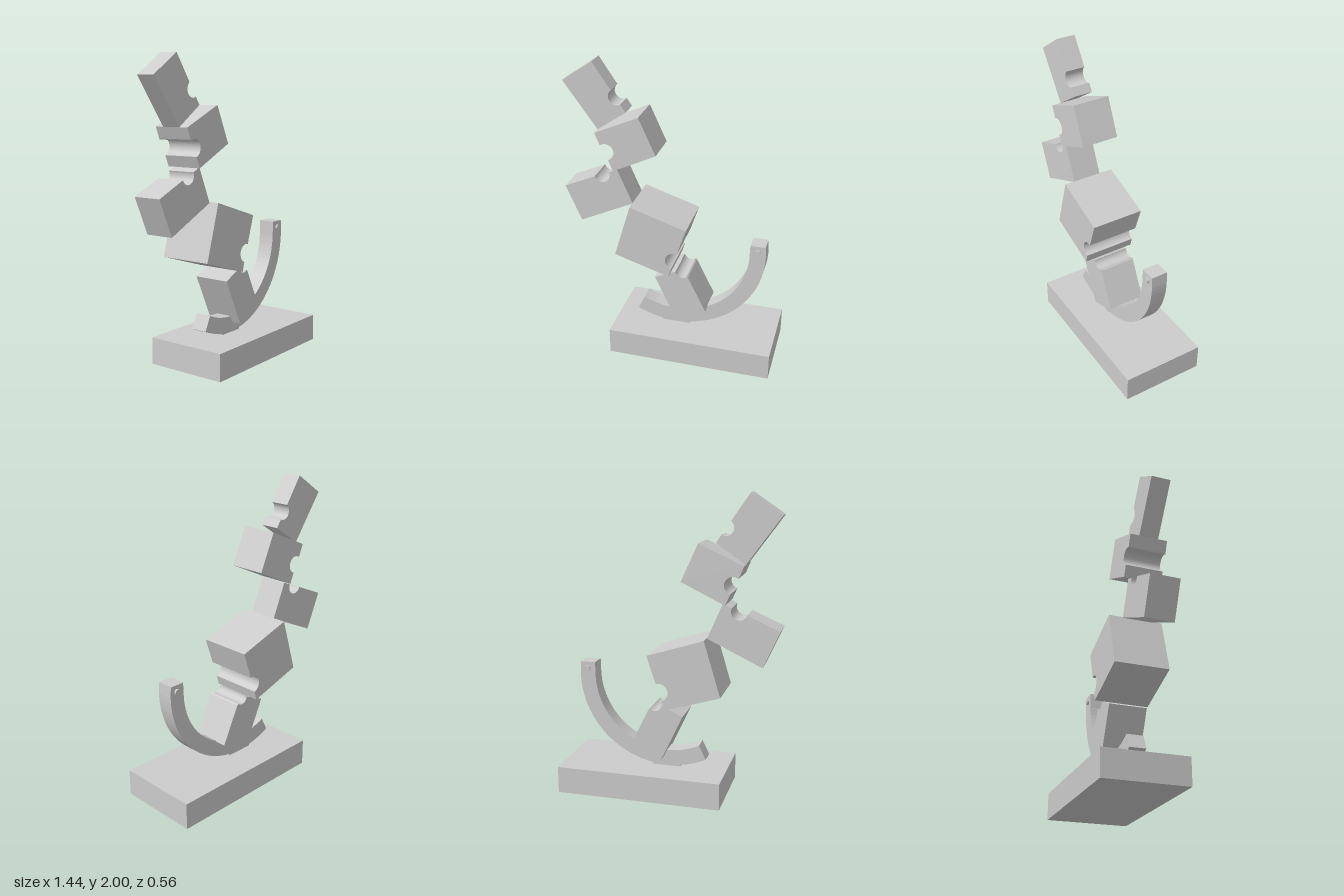
import * as THREE from 'three';

const grey = new THREE.MeshStandardMaterial({ color: 0xcccccc });

function add(group, name, geometry) {
  const mesh = new THREE.Mesh(geometry, grey);
  mesh.name = name;
  group.add(mesh);
  return mesh;
}

// Extrude an outline drawn in the xy plane from z = back to z = front
function slab(shape, back, front, curveSegments) {
  return new THREE.ExtrudeGeometry(shape, { depth: front - back, bevelEnabled: false, curveSegments })
    .translate(0, 0, back);
}

// Outline starts just after the notch and ends just before it, counter-clockwise
function notchedBlock(points, [cx, cy], r, back, front) {
  const shape = new THREE.Shape();
  points.forEach(([x, y], i) => (i ? shape.lineTo(x, y) : shape.moveTo(x, y)));
  const angleOf = ([x, y]) => Math.atan2(y - cy, x - cx);
  shape.absarc(cx, cy, r, angleOf(points[points.length - 1]), angleOf(points[0]), true);
  shape.closePath();
  return slab(shape, back, front, 18);
}

export function createModel() {
  const model = new THREE.Group();
  model.name = 'balancedBlockSculpture';

  // Base and the small flat the curved arm rests on
  add(model, 'base', new THREE.BoxGeometry(1.105, 0.18, 0.56)).position.set(0.167, 0.09, 0);
  add(model, 'armFoot', new THREE.BoxGeometry(0.19, 0.02, 0.11)).position.set(0.025, 0.183, 0);

  // Curved arm with a short straight top
  const cx = 0.02, cy = 0.79, outer = 0.606, inner = 0.5, start = Math.PI * 244 / 180;
  const arm = new THREE.Shape();
  arm.absarc(cx, cy, outer, start, Math.PI * 2, false);
  arm.lineTo(0.622, 0.865);
  arm.lineTo(0.522, 0.865);
  arm.absarc(cx, cy, inner, Math.PI * 2, start, true);
  arm.closePath();
  add(model, 'curvedArm', slab(arm, -0.055, 0.055, 18));

  // Pin through the arm tip
  add(model, 'armPin', new THREE.CylinderGeometry(0.02, 0.02, 0.137, 16).rotateX(Math.PI / 2))
    .position.set(0.575, 0.82, 0);

  // Stack of tilted blocks, bottom to top, each with a round notch
  add(model, 'lowestBlock', notchedBlock(
    [[0.04, 0.625], [-0.105, 0.558], [0.042, 0.245], [0.248, 0.34], [0.125, 0.59]],
    [0.083, 0.63], 0.046, -0.133, 0.117));
  add(model, 'largeBlock', notchedBlock(
    [[0.063, 0.797], [0.12, 0.97], [-0.255, 1.09], [-0.365, 0.725], [0.005, 0.61], [0.02, 0.665]],
    [0.04, 0.73], 0.06, -0.19, 0.166));
  add(model, 'middleBlock', notchedBlock(
    [[-0.512, 1.247], [-0.72, 1.155], [-0.615, 0.915], [-0.255, 1.085], [-0.355, 1.315], [-0.407, 1.29]],
    [-0.46, 1.267], 0.053, -0.098, 0.097));
  add(model, 'upperBlock', notchedBlock(
    [[-0.405, 1.38], [-0.375, 1.31], [-0.09, 1.447], [-0.2, 1.69], [-0.49, 1.56], [-0.46, 1.487]],
    [-0.422, 1.435], 0.056, -0.133, 0.117));
  add(model, 'topBlock', notchedBlock(
    [[-0.395, 1.83], [-0.51, 2], [-0.71, 1.865], [-0.49, 1.56], [-0.3, 1.69], [-0.33, 1.735]],
    [-0.36, 1.785], 0.052, -0.073, 0.055));

  return model;
}
